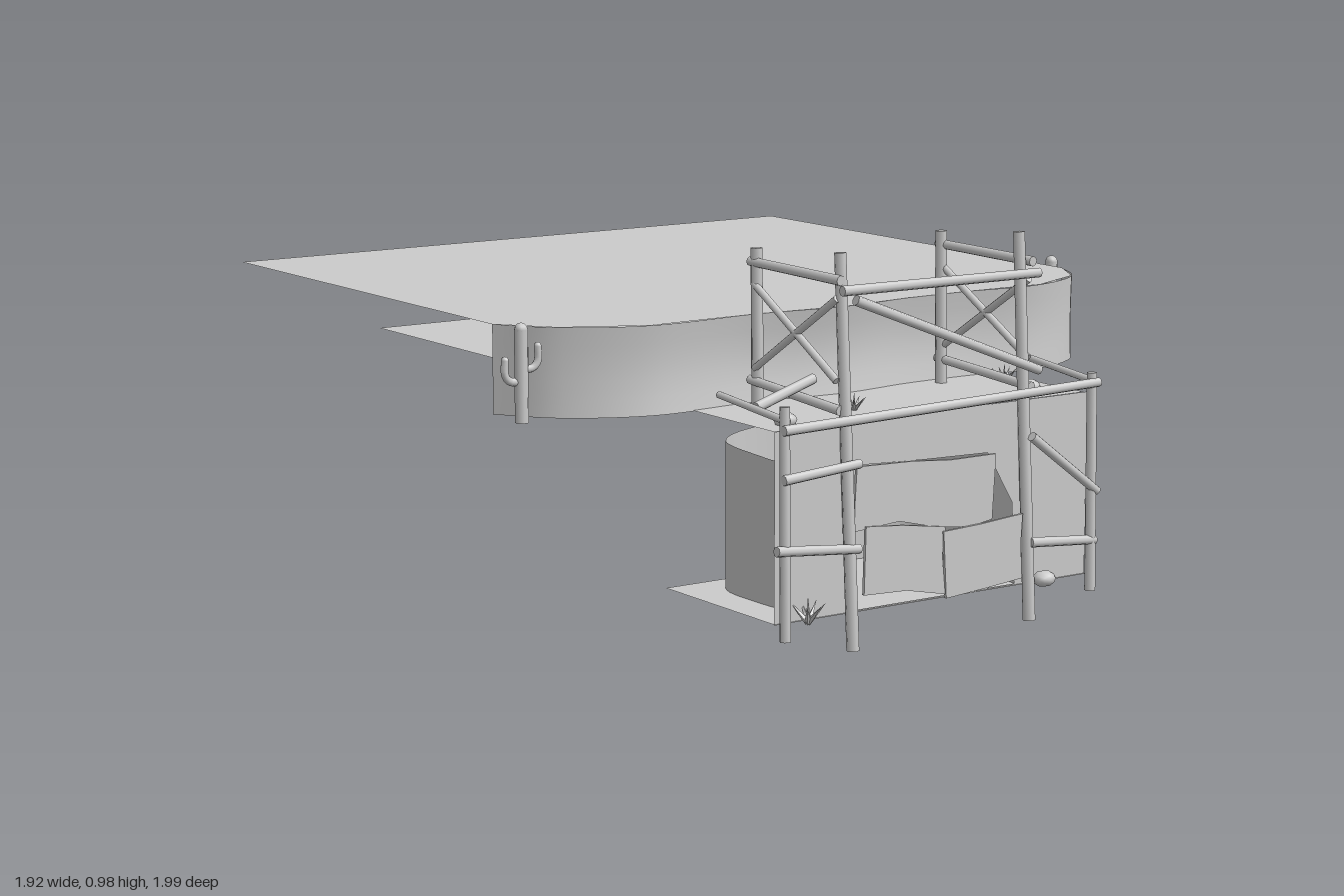
import * as THREE from 'three';

const solid = new THREE.MeshStandardMaterial({ color: 0xcccccc });
const thin = new THREE.MeshStandardMaterial({ color: 0xcccccc, side: THREE.DoubleSide });
const faceted = new THREE.MeshStandardMaterial({ color: 0xcccccc, flatShading: true });
const V = (p) => new THREE.Vector3(...p);

function add(parent, name, geometry, material = solid) {
  const mesh = new THREE.Mesh(geometry, material);
  mesh.name = name;
  parent.add(mesh);
  return mesh;
}

// Round timber between two points
function pole(parent, name, a, b, r = 0.013) {
  const from = V(a), to = V(b), dir = to.clone().sub(from);
  const mesh = add(parent, name, new THREE.CylinderGeometry(r * 0.92, r, dir.length(), 8));
  mesh.position.copy(from).add(to).multiplyScalar(0.5);
  mesh.quaternion.setFromUnitVectors(new THREE.Vector3(0, 1, 0), dir.normalize());
}

// Horizontal sheet from an [x, z] outline
function sheet(parent, name, outline, y) {
  const shape = new THREE.Shape(outline.map(([x, z]) => new THREE.Vector2(x, z)));
  const mesh = add(parent, name, new THREE.ShapeGeometry(shape).rotateX(Math.PI / 2), thin);
  mesh.position.y = y;
}

// Upright curved wall following [x, z] points; top(u) gives its upper edge
function wall(parent, name, points, bottom, top, bulge = 0) {
  const curve = new THREE.CatmullRomCurve3(points.map(([x, z]) => V([x, 0, z])), false, 'centripetal');
  const geo = new THREE.PlaneGeometry(1, 1, 64, 5), pos = geo.attributes.position;
  for (let i = 0; i < pos.count; i++) {
    const u = pos.getX(i) + 0.5, v = pos.getY(i) + 0.5, p = curve.getPointAt(u);
    pos.setXYZ(i, p.x, bottom + (top(u) - bottom) * v, p.z - bulge * Math.sin(v * Math.PI) * Math.sin(u * Math.PI));
  }
  geo.computeVertexNormals();
  add(parent, name, geo, thin);
}

// Cactus with two raised arms
function cactus(parent, x, z, height, turn, armA, armB) {
  const g = new THREE.Group();
  g.name = 'cactus';
  const r = 0.017;
  add(g, 'cactusTrunk', new THREE.CylinderGeometry(r, r, height - r, 10)).position.y = (height - r) / 2;
  add(g, 'cactusTip', new THREE.SphereGeometry(r, 10, 6)).position.y = height - r;
  for (const [side, y] of [[-1, armA], [1, armB]]) {
    const path = new THREE.CatmullRomCurve3([[0, y, 0], [side * 0.03, y + 0.003, 0], [side * 0.043, y + 0.02, 0], [side * 0.043, y + 0.055, 0]].map(V));
    add(g, 'cactusArm', new THREE.TubeGeometry(path, 10, 0.01, 8));
    add(g, 'cactusArmTip', new THREE.SphereGeometry(0.01, 8, 6)).position.set(side * 0.043, y + 0.055, 0);
  }
  g.position.set(x, 0.55, z);
  g.rotation.y = turn;
  parent.add(g);
}

// Tuft of pointed leaves
function tuft(parent, x, y, z, size) {
  const g = new THREE.Group();
  g.name = 'grassTuft';
  for (let i = 0; i < 7; i++) {
    const blade = add(g, 'blade', new THREE.ConeGeometry(size * 0.13, size, 4).translate(0, size / 2, 0), faceted);
    blade.rotation.set(0, i * 0.9, i ? 0.75 : 0);
  }
  g.position.set(x, y, z);
  parent.add(g);
}

function rock(parent, x, y, z, r) {
  const m = add(parent, 'rock', new THREE.IcosahedronGeometry(r, 1));
  m.position.set(x, y, z);
  m.scale.set(1, 0.65, 0.85);
}

export function createModel() {
  const model = new THREE.Group();
  model.name = 'mineEntrance';

  // Upper plateau and its cliff
  const rim = [[-0.925, 0.33], [-0.82, 0.465], [-0.62, 0.565], [-0.3, 0.56], [-0.04, 0.585], [0.17, 0.56], [0.36, 0.558], [0.6, 0.57], [0.775, 0.49], [0.85, 0.36]];
  sheet(model, 'plateau', [[-0.925, -1], ...rim, [0.85, -1]], 0.778);
  wall(model, 'cliff', rim, 0.555, () => 0.778, 0.015);

  // Middle terrace and lower ground
  sheet(model, 'terrace', [[-0.5, -1], [-0.5, 0.915], [0.46, 0.915], [0.46, -1]], 0.557);
  sheet(model, 'lowerGround', [[-0.5, 0.45], [-0.5, 0.925], [0.47, 0.925], [0.47, 0.45]], 0.087);

  // Front rock face with the mine opening
  const face = new THREE.Shape([[-0.5, 0.085], [0.47, 0.085], [0.47, 0.557], [-0.5, 0.557]].map((p) => new THREE.Vector2(...p)));
  face.holes.push(new THREE.Path([[-0.28, 0.09], [-0.28, 0.45], [-0.05, 0.44], [0.15, 0.435], [0.23, 0.3], [0.24, 0.09]].map((p) => new THREE.Vector2(...p))));
  add(model, 'rockFace', new THREE.ShapeGeometry(face), thin).position.z = 0.917;

  // Rounded tunnel wall behind the opening
  wall(model, 'tunnelWall', [[0.25, 0.917], [0.26, 0.68], [0.22, 0.5], [0.02, 0.45], [-0.25, 0.455], [-0.38, 0.54], [-0.4, 0.72], [-0.38, 0.917]],
    0.087, (u) => 0.445 + 0.025 * Math.sin(u * Math.PI));

  // Ragged boards nailed over the opening
  const boards = [
    [[-0.28, 0.29], [-0.27, 0.45], [-0.1, 0.445], [0.02, 0.435], [0.16, 0.435], [0.15, 0.27], [0.08, 0.26], [-0.02, 0.27], [-0.14, 0.3]],
    [[-0.25, 0.13], [-0.245, 0.3], [-0.13, 0.29], [0, 0.27], [-0.01, 0.2], [0, 0.1], [-0.12, 0.125]],
    [[0, 0.09], [-0.01, 0.26], [0.11, 0.265], [0.24, 0.275], [0.235, 0.2], [0.24, 0.11], [0.13, 0.1]],
  ];
  boards.forEach((outline, i) => {
    const geo = new THREE.ExtrudeGeometry(new THREE.Shape(outline.map((p) => new THREE.Vector2(...p))), { depth: 0.008, bevelEnabled: false });
    add(model, 'board', geo, faceted).position.z = 0.93 + i * 0.005;
  });

  // Scaffold
  const scaffold = new THREE.Group();
  scaffold.name = 'scaffold';
  model.add(scaffold);
  pole(scaffold, 'frontPost', [-0.29, 0, 0.952], [-0.3, 0.97, 0.905], 0.016);
  pole(scaffold, 'frontPost', [0.262, 0, 0.952], [0.25, 0.98, 0.905], 0.016);
  pole(scaffold, 'outerPost', [-0.49, 0.05, 0.95], [-0.487, 0.62, 0.94], 0.014);
  pole(scaffold, 'outerPost', [0.462, 0.05, 0.95], [0.465, 0.61, 0.94], 0.014);
  pole(scaffold, 'backPost', [-0.325, 0.555, 0.6], [-0.33, 0.95, 0.6], 0.016);
  pole(scaffold, 'backPost', [0.25, 0.555, 0.6], [0.245, 0.95, 0.6], 0.016);

  const frontRails = [
    [-0.33, 0.885, 0.28, 0.88], [-0.29, 0.86, 0.285, 0.635],
    [-0.5, 0.565, 0.48, 0.585], [-0.5, 0.445, -0.27, 0.46],
    [-0.52, 0.275, -0.27, 0.25], [0.26, 0.47, 0.48, 0.305], [0.26, 0.2, 0.475, 0.18],
  ];
  for (const [x1, y1, x2, y2] of frontRails) pole(scaffold, 'frontRail', [x1, y1, 0.955], [x2, y2, 0.95]);

  // Side rails and cross braces
  for (const [xf, xb, xo] of [[-0.312, -0.335, -0.485], [0.28, 0.25, 0.475]]) {
    pole(scaffold, 'sideRail', [xf, 0.905, 0.925], [xb, 0.915, 0.58]);
    pole(scaffold, 'sideRail', [xf, 0.59, 0.925], [xb, 0.62, 0.58]);
    pole(scaffold, 'brace', [xf, 0.86, 0.91], [xb, 0.65, 0.6], 0.01);
    pole(scaffold, 'brace', [xf, 0.66, 0.91], [xb, 0.86, 0.6], 0.01);
    pole(scaffold, 'outerRail', [xo, 0.585, 0.95], [xo * 1.01, 0.61, 0.67], 0.01);
  }
  pole(scaffold, 'terraceBeam', [-0.485, 0.6, 0.82], [-0.3, 0.65, 0.8], 0.014);

  // Plants and stones
  cactus(model, 0.905, 0.25, 0.245, -0.15, 0.075, 0.1);
  cactus(model, -0.91, 0.44, 0.245, -0.15, 0.1, 0.13);
  tuft(model, -0.17, 0.557, 0.79, 0.045);
  tuft(model, 0.385, 0.557, 0.69, 0.05);
  tuft(model, -0.42, 0.087, 0.945, 0.065);
  rock(model, -0.42, 0.567, 0.85, 0.03);
  rock(model, 0.355, 0.567, 0.825, 0.032);
  rock(model, 0.31, 0.1, 0.95, 0.032);
  return model;
}
